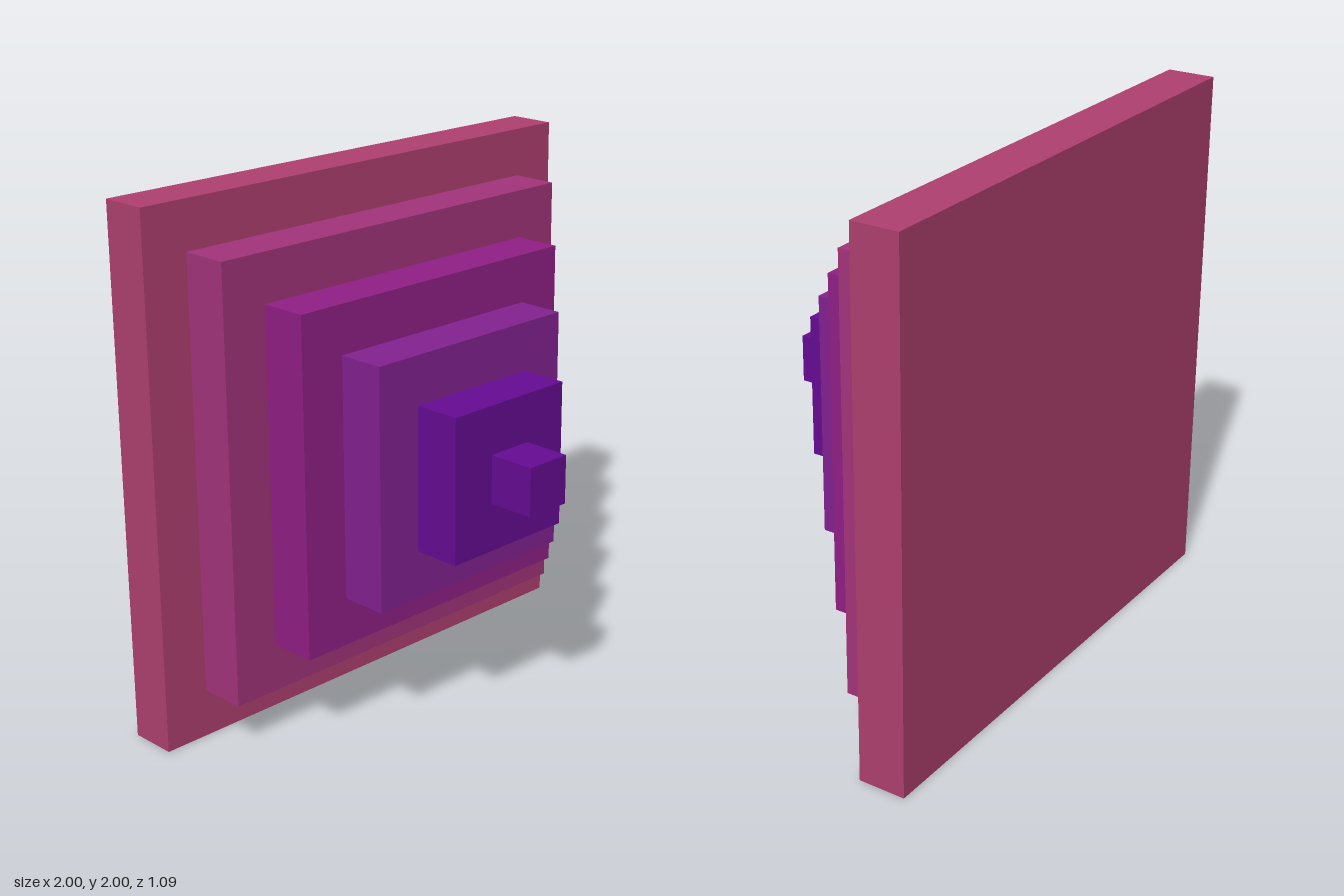
import * as THREE from 'three';

const U = 2 / 11; // one step: the thickness of a tier and the inset of its edge

function material(name, color) {
  const m = new THREE.MeshStandardMaterial({ color });
  m.name = name;
  return m;
}

export function createModel() {
  const group = new THREE.Group();
  group.name = 'steppedPyramid';

  const violet = material('deep violet', 0x660c94);
  const tiers = [
    ['backPlate', material('rose', 0xaf4070)],
    ['secondTier', material('magenta', 0xa3347b)],
    ['thirdTier', material('purple', 0x911f86)],
    ['fourthTier', material('plum violet', 0x832190)],
    ['fifthTier', violet],
    ['tipCube', violet],
  ];

  // Square tiers stacked from the back towards the front, each two steps narrower
  tiers.forEach(([name, mat], i) => {
    const size = (11 - 2 * i) * U;
    const tier = new THREE.Mesh(new THREE.BoxGeometry(size, size, U), mat);
    tier.name = name;
    tier.position.set(0, 1, (i - 2.5) * U);
    group.add(tier);
  });

  return group;
}
